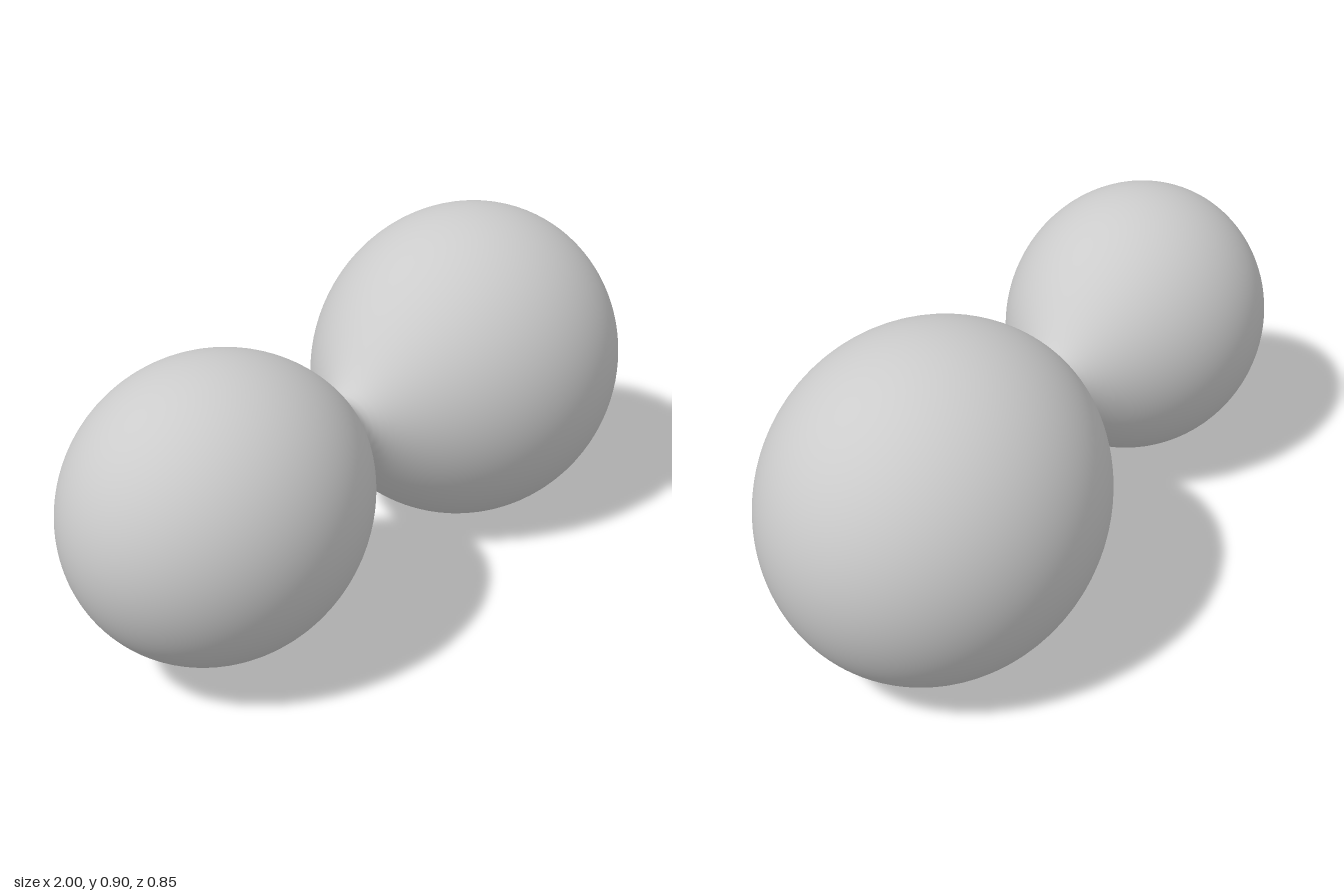
import * as THREE from 'three';
import { mergeVertices } from 'three/addons/utils/BufferGeometryUtils.js';

// Two lobes joined by a neck: an equipotential surface of two orbiting masses.
// The large mass sits at u = 0, the small one at u = 1; z is the spin axis.
const RATIO = 0.725; // small mass / large mass
const NECK = 0.083; // half height of the neck

const potential = (u, y, z) => {
  const d = y * y + z * z;
  return 1 / Math.sqrt(u * u + d) + RATIO / Math.sqrt((u - 1) ** 2 + d)
    - RATIO * u + 0.5 * (1 + RATIO) * (u * u + y * y);
};

// Root of a function that is positive at a and negative at b
function bisect(f, a, b) {
  for (let i = 0; i < 40; i++) {
    const m = (a + b) / 2;
    if (f(m) > 0) a = m; else b = m;
  }
  return (a + b) / 2;
}

export function createModel() {
  // Balance point between the masses, then the surface level and both tips
  const balance = bisect(
    u => 1 / u ** 2 - RATIO / (1 - u) ** 2 + RATIO - (1 + RATIO) * u, 0.3, 0.8);
  const level = potential(balance, NECK, 0);
  const largeTip = bisect(t => potential(-t, 0, 0) - level, 0.2, 0.6);
  const smallTip = bisect(t => potential(1 + t, 0, 0) - level, 0.2, 0.5);
  const length = 1 + largeTip + smallTip;
  const scale = 2 / length;

  // A sphere with its poles on x, each vertex moved onto the surface
  const sphere = new THREE.SphereGeometry(1, 96, 180);
  sphere.rotateZ(-Math.PI / 2);
  sphere.deleteAttribute('uv');
  sphere.deleteAttribute('normal');
  const pos = sphere.attributes.position;
  for (let i = 0; i < pos.count; i++) {
    const x = THREE.MathUtils.clamp(pos.getX(i), -1, 1);
    const angle = Math.atan2(pos.getZ(i), pos.getY(i));
    const c = Math.cos(angle), s = Math.sin(angle);
    const u = (1 - x) * length / 2 - largeTip;
    const r = Math.abs(x) > 0.999999 ? 0
      : bisect(t => potential(u, t * c, t * s) - level, 0, 0.5);
    pos.setXYZ(i, x, r * c * scale, r * s * scale);
  }
  const geometry = mergeVertices(sphere, 1e-5);
  geometry.computeVertexNormals();
  geometry.computeBoundingBox();
  geometry.translate(0, -geometry.boundingBox.min.y, 0);

  const body = new THREE.Mesh(geometry,
    new THREE.MeshStandardMaterial({ color: 0xcccccc }));
  body.name = 'twinLobeBody';
  const group = new THREE.Group();
  group.name = 'twinLobes';
  group.add(body);
  return group;
}
